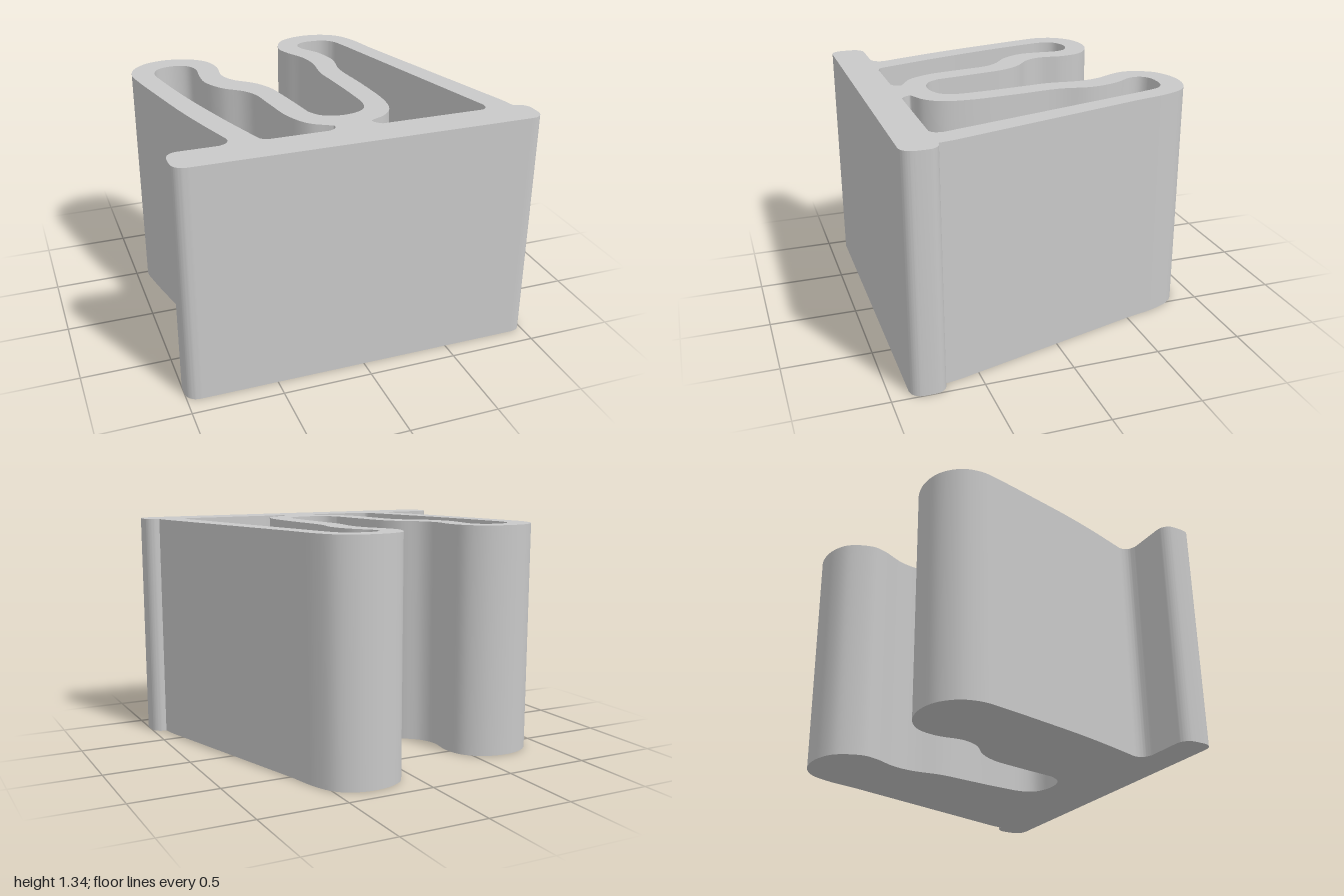
import * as THREE from 'three';
import { toCreasedNormals } from 'three/addons/utils/BufferGeometryUtils.js';

const HEIGHT = 1.335;
const FLOOR = 0.13;

// Plan outline from strokes of [x, z]: two points make a line, more make a smooth curve
function outline(strokes) {
  const pts = [];
  for (const stroke of strokes) {
    const v = stroke.map(([x, z]) => new THREE.Vector3(x, -z, 0));
    const run = v.length === 2 ? v
      : new THREE.CatmullRomCurve3(v, false, 'centripetal').getPoints((v.length - 1) * 6);
    for (const p of run) {
      const q = new THREE.Vector2(p.x, p.y);
      if (!pts.length || pts[pts.length - 1].distanceTo(q) > 1e-4) pts.push(q);
    }
  }
  if (pts[0].distanceTo(pts[pts.length - 1]) < 1e-4) pts.pop();
  // Counter-clockwise, so that outer and pocket walls both face outwards
  return THREE.ShapeUtils.isClockWise(pts) ? pts.reverse() : pts;
}

// Quarter-round corner about (cx, cz), starting at the angle given
function corner(cx, cz, r, from) {
  return [0, 1, 2, 3, 4].map((i) => {
    const a = from + (i / 4) * Math.PI / 2;
    return [cx + r * Math.cos(a), cz + r * Math.sin(a)];
  });
}

// Raise a plan outline along y
function raise(shape, depth) {
  const geo = new THREE.ExtrudeGeometry(shape, { depth, bevelEnabled: false });
  geo.rotateX(-Math.PI / 2);
  return toCreasedNormals(geo, 0.6);
}

export function createModel() {
  const group = new THREE.Group();
  const grey = new THREE.MeshStandardMaterial({ color: 0xc8c8c8 });
  grey.name = 'grey';

  // Base bar with two arms and the slot between them
  const body = outline([
    corner(0.93, 0.765, 0.07, -Math.PI / 2),
    corner(0.93, 0.825, 0.07, 0),
    [[0.92, 0.895], [-0.92, 0.895]],
    corner(-0.93, 0.825, 0.07, Math.PI / 2),
    corner(-0.93, 0.765, 0.07, Math.PI),
    [[-0.92, 0.695], [-0.73, 0.695]],
    // fillet and outer side of the short arm
    [[-0.72, 0.695], [-0.68, 0.675], [-0.663, 0.634], [-0.678, 0.575]],
    [[-0.678, 0.575], [-0.735, 0.39], [-0.797, 0.163], [-0.85, -0.067], [-0.915, -0.37],
      // rounded tip
      [-0.93, -0.48], [-0.9, -0.59], [-0.81, -0.675], [-0.68, -0.703], [-0.545, -0.67],
      [-0.455, -0.59], [-0.422, -0.47], [-0.433, -0.318], [-0.396, -0.222],
      [-0.289, -0.12], [-0.23, -0.013], [-0.198, 0.136], [-0.152, 0.414]],
    // bottom of the slot
    [[-0.152, 0.414], [-0.112, 0.475], [-0.06, 0.505], [0.01, 0.516], [0.085, 0.503],
      [0.139, 0.468], [0.168, 0.4], [0.166, 0.243], [0.14, -0.03], [0.128, -0.158],
      // inner side of the tall arm and its rounded tip
      [0.144, -0.345], [0.123, -0.468], [0.059, -0.602], [0.041, -0.69], [0.096, -0.825],
      [0.18, -0.88], [0.289, -0.9], [0.4, -0.88], [0.49, -0.82], [0.55, -0.7], [0.594, -0.52]],
    [[0.6, -0.497], [0.904, 0.592]],
    [[0.91, 0.615], [0.925, 0.695]],
  ]);

  const pockets = {
    shortArm: outline([
      [[-0.465, 0.696], [-0.5, 0.677], [-0.519, 0.634]],
      [[-0.519, 0.634], [-0.61, 0.35], [-0.717, -0.035], [-0.786, -0.355], [-0.8, -0.46],
        [-0.77, -0.54], [-0.68, -0.575], [-0.588, -0.548], [-0.552, -0.48], [-0.56, -0.345],
        [-0.556, -0.227], [-0.492, -0.104], [-0.385, -0.008], [-0.342, 0.067],
        [-0.316, 0.216], [-0.278, 0.43], [-0.209, 0.564], [-0.112, 0.63]],
      [[-0.112, 0.63], [-0.093, 0.645], [-0.105, 0.678], [-0.139, 0.696]],
    ]),
    tallArm: outline([
      [[0.73, 0.696], [0.165, 0.696]],
      [[0.155, 0.696], [0.128, 0.672], [0.115, 0.642], [0.135, 0.628]],
      [[0.135, 0.628], [0.21, 0.59], [0.273, 0.511], [0.299, 0.377], [0.283, 0.083],
        [0.257, -0.185], [0.283, -0.372], [0.246, -0.532], [0.175, -0.655], [0.178, -0.72],
        [0.22, -0.757], [0.289, -0.767], [0.365, -0.755], [0.417, -0.71], [0.46, -0.586]],
      [[0.466, -0.562], [0.759, 0.566]],
      [[0.765, 0.59], [0.775, 0.634], [0.765, 0.677], [0.738, 0.696]],
    ]),
  };

  // Walls, open at the top over both pockets
  const shape = new THREE.Shape(body);
  for (const pts of Object.values(pockets)) shape.holes.push(new THREE.Path(pts));
  const walls = new THREE.Mesh(raise(shape, HEIGHT), grey);
  walls.name = 'walls';
  group.add(walls);

  // Closed floor of each pocket
  for (const [name, pts] of Object.entries(pockets)) {
    const floor = new THREE.Mesh(raise(new THREE.Shape(pts), FLOOR), grey);
    floor.name = name + 'PocketFloor';
    group.add(floor);
  }
  return group;
}
